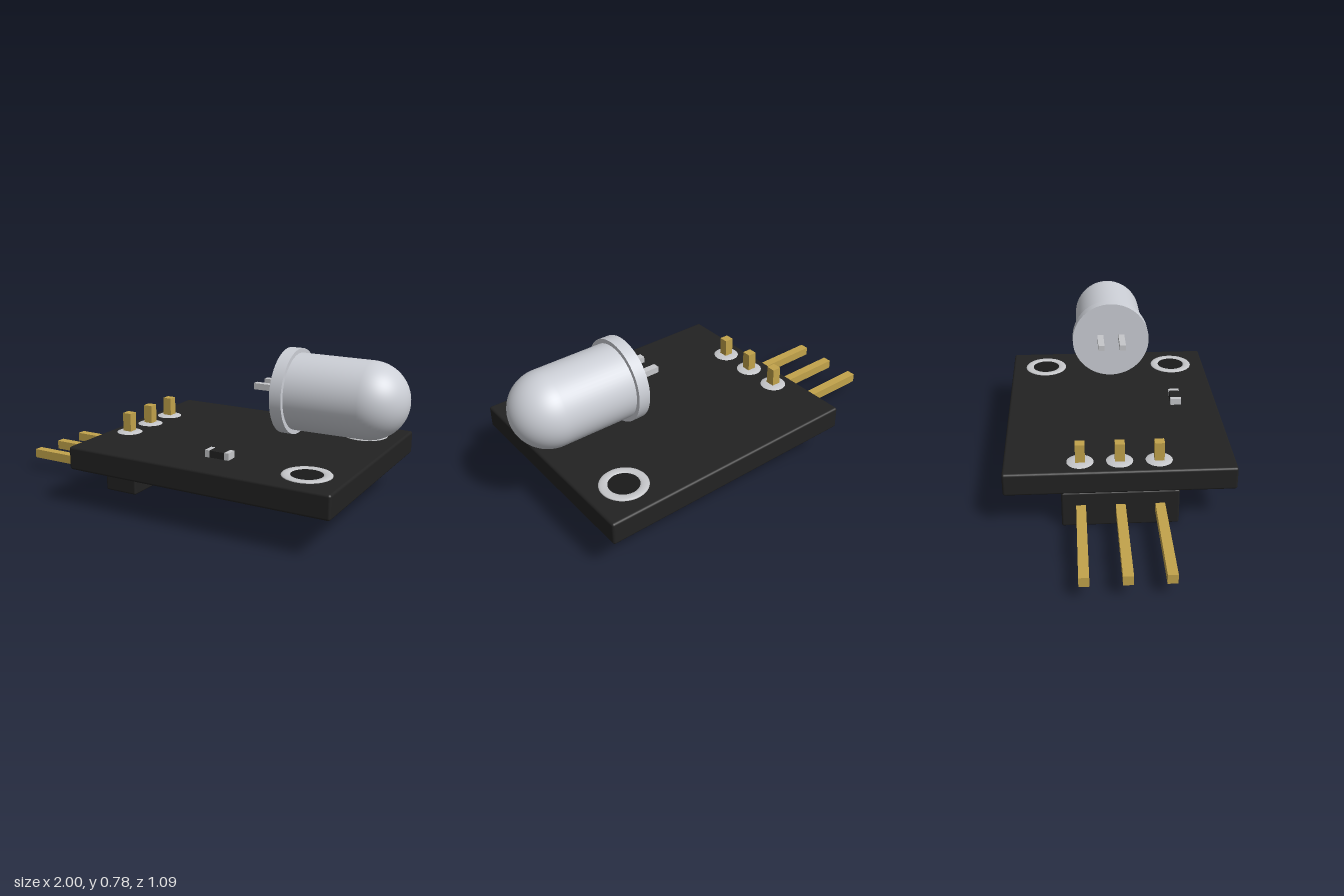
import * as THREE from 'three';
import { RoundedBoxGeometry } from 'three/addons/geometries/RoundedBoxGeometry.js';

const mat = (name, color) => {
  const m = new THREE.MeshStandardMaterial({ color });
  m.name = name;
  return m;
};

export function createModel() {
  const model = new THREE.Group();
  const black = mat('black plastic', 0x222222);
  const hole = mat('hole black', 0x1a1a1a);
  const silver = mat('silver metal', 0xc6c7ca);
  const lens = mat('lens grey', 0xcccfd6);
  const gold = mat('gold metal', 0xc2a34b);

  const add = (name, geometry, material, x, y, z) => {
    const mesh = new THREE.Mesh(geometry, material);
    mesh.name = name;
    mesh.position.set(x, y, z);
    model.add(mesh);
    return mesh;
  };
  const box = (name, w, h, d, material, x, y, z) =>
    add(name, new THREE.BoxGeometry(w, h, d), material, x, y, z);

  // Circuit board and the pin header beneath it
  add('board', new RoundedBoxGeometry(1.346, 0.115, 1.094, 3, 0.012), black, 0.192, 0.2425, 0);
  add('header', new RoundedBoxGeometry(0.18, 0.184, 0.556, 3, 0.01), black, -0.38, 0.092, 0);

  // Three angled pins, each rising through a solder pad
  const padProfile = [[0, 0.008], [0.03, 0.008], [0.05, 0.006], [0.064, 0]]
    .reverse().map(([r, y]) => new THREE.Vector2(r, y));
  for (const z of [-0.186, 0, 0.186]) {
    box('pin', 0.66, 0.046, 0.046, gold, -0.67, 0.093, z);
    box('pinTip', 0.046, 0.32, 0.046, gold, -0.38, 0.24, z);
    add('solderPad', new THREE.LatheGeometry(padProfile, 32), silver, -0.38, 0.3, z);
  }

  // Mounting holes with flattened metal rims
  for (const z of [-0.359, 0.359]) {
    const ring = new THREE.TorusGeometry(0.0925, 0.0215, 12, 48);
    ring.rotateX(Math.PI / 2).scale(1, 0.3, 1);
    add('holeRim', ring, silver, 0.678, 0.3, z);
    const disc = new THREE.CircleGeometry(0.08, 40).rotateX(-Math.PI / 2);
    add('hole', disc, hole, 0.678, 0.302, z);
  }

  // Small surface-mounted resistor
  box('resistorBody', 0.078, 0.033, 0.053, black, 0.228, 0.3165, 0.33);
  for (const x of [0.178, 0.278]) {
    box('resistorEnd', 0.022, 0.034, 0.056, silver, x, 0.317, 0.33);
  }

  // Lamp: flange, barrel and domed tip lying along x
  const flange = new THREE.CylinderGeometry(0.204, 0.204, 0.058, 64).rotateZ(-Math.PI / 2);
  add('lampFlange', flange, lens, 0.441, 0.573, 0);
  const barrel = new THREE.CylinderGeometry(0.181, 0.183, 0.352, 64, 1, true).rotateZ(-Math.PI / 2);
  add('lampBarrel', barrel, lens, 0.644, 0.573, 0);
  const dome = new THREE.SphereGeometry(0.181, 64, 24, 0, Math.PI * 2, 0, Math.PI / 2).rotateZ(-Math.PI / 2);
  add('lampDome', dome, lens, 0.819, 0.573, 0);

  // Lamp leads
  for (const z of [-0.056, 0.056]) {
    box('lampLead', 0.16, 0.03, 0.032, silver, 0.347, 0.589, z);
  }
  return model;
}
